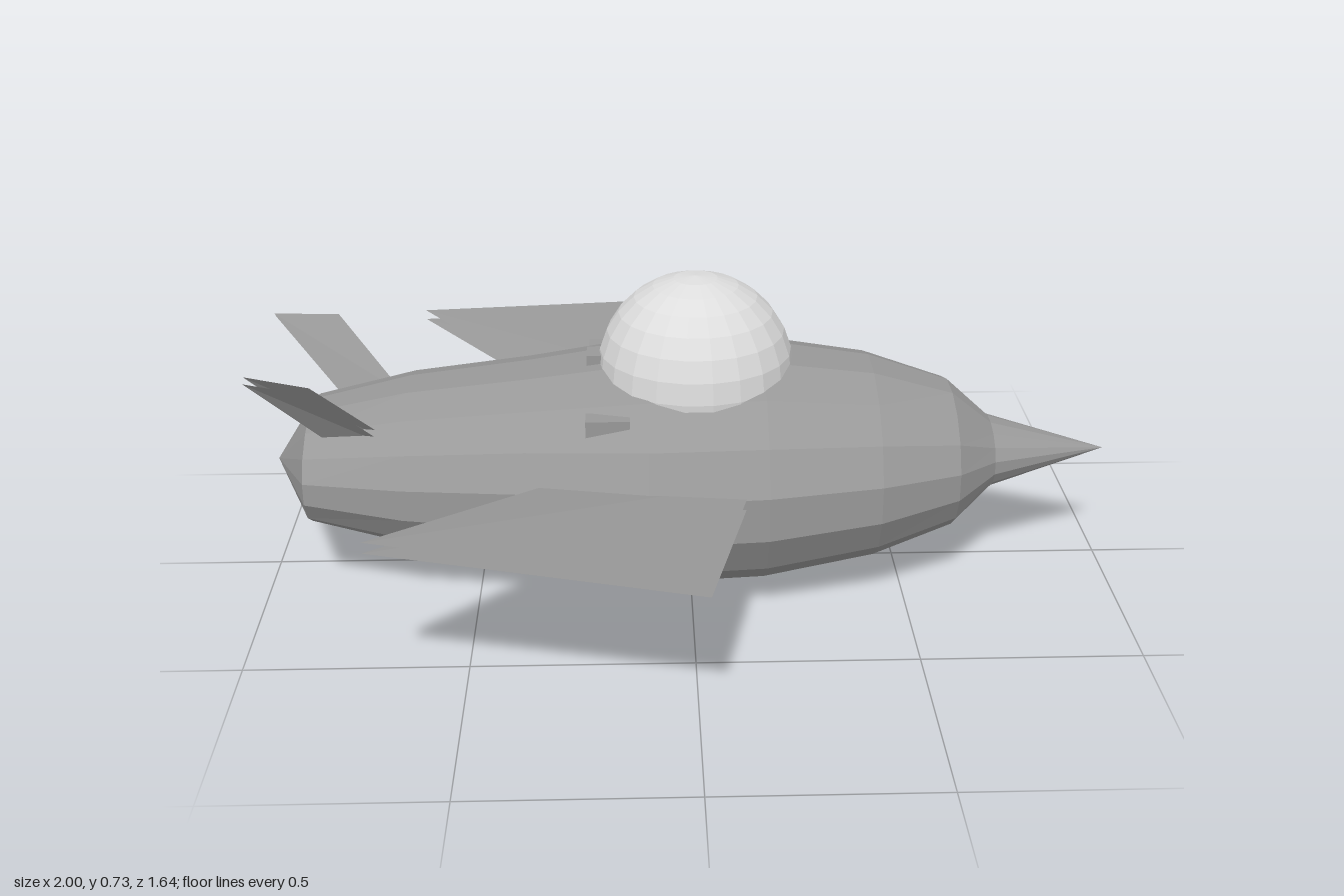
import * as THREE from 'three';

// Faceted surface from equal-length rings of [x, y, z] points
function loft(rings) {
  const n = rings[0].length, index = [];
  for (let i = 0; i < rings.length - 1; i++) {
    for (let j = 0; j < n; j++) {
      const k = (j + 1) % n, a = i * n, b = a + n;
      index.push(a + j, a + k, b + j, a + k, b + k, b + j);
    }
  }
  const g = new THREE.BufferGeometry();
  g.setAttribute('position', new THREE.Float32BufferAttribute(rings.flat(2), 3));
  g.setIndex(index);
  g.computeVertexNormals();
  return g;
}

// Two parallel open sheets with the given corners
function doubleSheet(corners, offset) {
  const pts = [...corners, ...corners.map(c => c.map((v, i) => v + offset[i]))];
  const g = new THREE.BufferGeometry();
  g.setAttribute('position', new THREE.Float32BufferAttribute(pts.flat(), 3));
  g.setIndex([0, 1, 2, 0, 2, 3, 4, 5, 6, 4, 6, 7]);
  g.computeVertexNormals();
  return g;
}

export function createModel() {
  const model = new THREE.Group();
  const hullGrey = new THREE.MeshStandardMaterial({ color: 0x999999, flatShading: true, side: THREE.DoubleSide });
  hullGrey.name = 'hull grey';
  const domeGrey = new THREE.MeshStandardMaterial({ color: 0xdddddd, flatShading: true });
  domeGrey.name = 'dome light grey';
  const add = (name, geometry, material = hullGrey) => {
    const mesh = new THREE.Mesh(geometry, material);
    mesh.name = name;
    model.add(mesh);
    return mesh;
  };

  // Hull stations: x, bottom y, top y, half width
  const sides = 16, reach = Math.cos(Math.PI / sides);
  const stations = [
    [-0.98, 0.284, 0.284, 0], [-0.89, 0.155, 0.42, 0.21], [-0.66, 0.1, 0.472, 0.27],
    [-0.38, 0.062, 0.505, 0.305], [-0.1, 0.003, 0.545, 0.365], [0.17, 0.015, 0.545, 0.357],
    [0.43, 0.058, 0.51, 0.3], [0.62, 0.12, 0.45, 0.215], [0.72, 0.205, 0.363, 0.11],
    [1, 0.284, 0.284, 0],
  ];
  add('hull', loft(stations.map(([x, lo, hi, w]) =>
    Array.from({ length: sides }, (_, j) => {
      const a = (j + 0.5) / sides * Math.PI * 2;
      return [x, (lo + hi) / 2 + Math.cos(a) * (hi - lo) / 2 / reach, Math.sin(a) * w / reach];
    }))));

  // Cockpit bubble
  const dome = add('cockpitDome', new THREE.SphereGeometry(0.23, 22, 14), domeGrey);
  dome.position.set(0.015, 0.505, 0);

  for (const s of [1, -1]) {
    const side = s > 0 ? 'near' : 'far';

    // Swept wings
    add(side + 'Wing', doubleSheet([
      [0.14, 0.325, s * 0.25], [0.02, 0.375, s * 0.82],
      [-0.69, 0.405, s * 0.67], [-0.295, 0.335, s * 0.25],
    ], [0, -0.025, 0]));

    // Tail fins
    add(side + 'TailFin', doubleSheet([
      [-0.69, 0.388, s * 0.135], [-0.85, 0.562, s * 0.232],
      [-1, 0.577, s * 0.2], [-0.81, 0.368, s * 0.105],
    ], [0, -0.011, s * 0.014]));

    // Ports almost flush with the hull: above, below, at the sides and on the diagonals
    add(s > 0 ? 'topPort' : 'bottomPort', new THREE.BoxGeometry(0.04, 0.06, 0.06))
      .position.set(-0.22, 0.285 + s * 0.235, 0);
    add(side + 'SidePort', new THREE.BoxGeometry(0.04, 0.06, 0.06))
      .position.set(-0.22, 0.285, s * 0.32);
    for (const v of [1, -1]) {
      add(side + (v > 0 ? 'Upper' : 'Lower') + 'Port', new THREE.BoxGeometry(0.1, 0.05, 0.05))
        .position.set(-0.19, 0.283 + v * 0.172, s * 0.228);
    }
  }
  return model;
}
